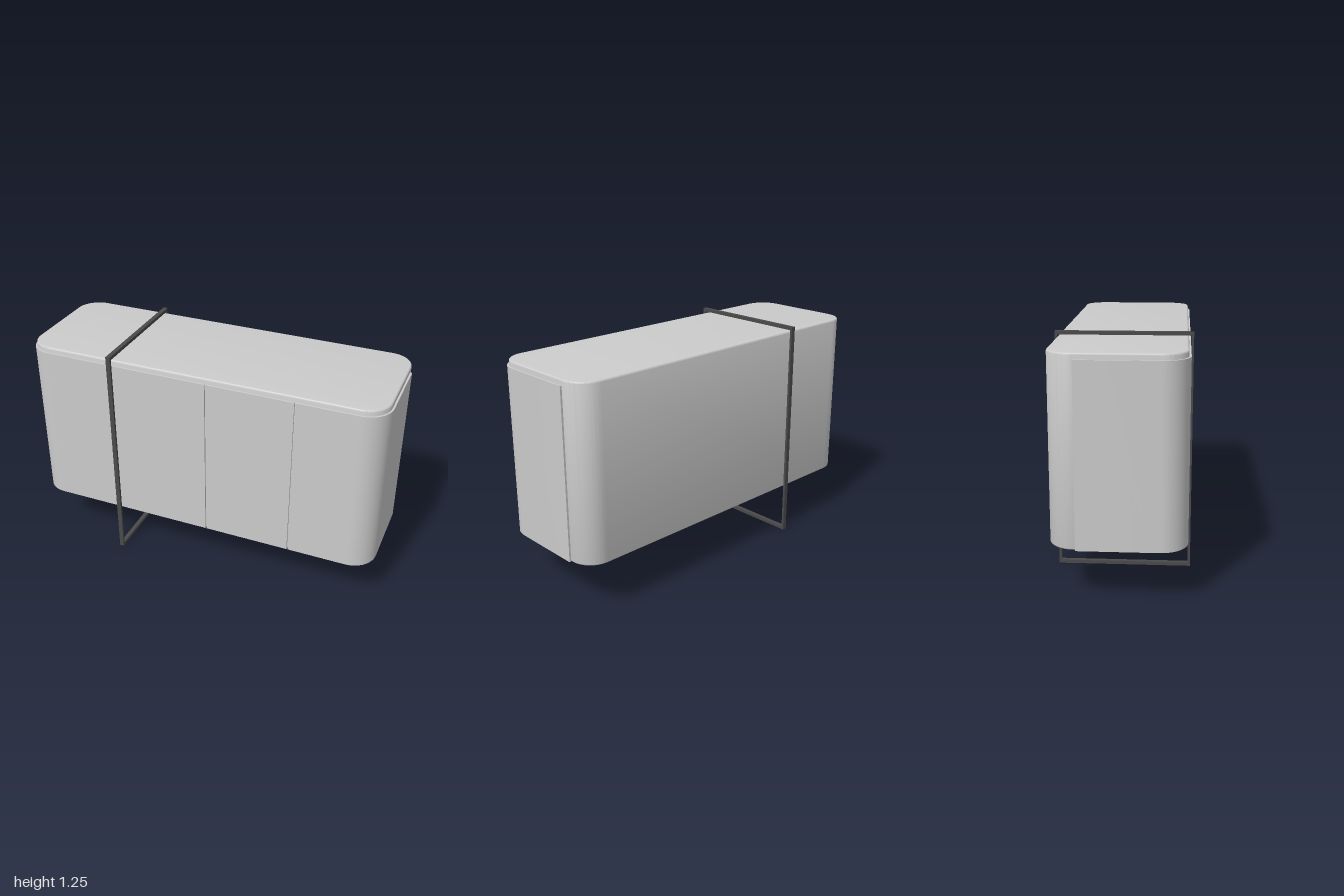
import * as THREE from 'three';
import { toCreasedNormals } from 'three/addons/utils/BufferGeometryUtils.js';

const BOTTOM = 0.285, TOP = 1.23, LIP = 0.03;
const HALF_W = 1, HALF_D = 0.335, RADIUS = 0.135, SKIN = 0.01;
const FRAME_X = -0.485, SIDE_SEAM_Z = -0.2, GAP = 0.006;

const grey = new THREE.MeshStandardMaterial({ color: 0xcccccc });
const dark = new THREE.MeshStandardMaterial({ color: 0x4a4a4a });

function add(group, name, geometry, material = grey) {
  const mesh = new THREE.Mesh(geometry, material);
  mesh.name = name;
  group.add(mesh);
  return mesh;
}

// Extrudes a plan shape (x, z) vertically between two heights.
function extrudePlan(shape, y0, y1, bevel) {
  const geo = new THREE.ExtrudeGeometry(shape, {
    depth: y1 - y0 - 2 * bevel, curveSegments: 14, bevelEnabled: bevel > 0,
    bevelSize: bevel, bevelThickness: bevel, bevelOffset: -bevel, bevelSegments: 3,
  });
  geo.rotateX(Math.PI / 2);
  geo.translate(0, y1 - bevel, 0);
  return toCreasedNormals(geo, 0.6);
}

// Plan of the rounded cabinet body.
function roundedPlan(w, d, r) {
  const s = new THREE.Shape();
  s.absarc(w - r, d - r, r, 0, Math.PI / 2);
  s.absarc(-w + r, d - r, r, Math.PI / 2, Math.PI);
  s.absarc(-w + r, -d + r, r, Math.PI, Math.PI * 1.5);
  s.absarc(w - r, -d + r, r, Math.PI * 1.5, Math.PI * 2);
  s.closePath();
  return s;
}

// Plan of a door that wraps round a front corner; side is +1 or -1.
function cornerDoorPlan(side, seamX) {
  const cx = HALF_W - RADIUS, cz = HALF_D - RADIUS;
  const inner = RADIUS - SKIN, steps = 14, pts = [];
  pts.push([HALF_W, SIDE_SEAM_Z]);
  for (let i = 0; i <= steps; i++) {
    const a = (i / steps) * Math.PI / 2;
    pts.push([cx + RADIUS * Math.cos(a), cz + RADIUS * Math.sin(a)]);
  }
  pts.push([seamX, HALF_D], [seamX, HALF_D - SKIN]);
  for (let i = steps; i >= 0; i--) {
    const a = (i / steps) * Math.PI / 2;
    pts.push([cx + inner * Math.cos(a), cz + inner * Math.sin(a)]);
  }
  pts.push([HALF_W - SKIN, SIDE_SEAM_Z]);
  return new THREE.Shape(pts.map(([x, z]) => new THREE.Vector2(side * x, z)));
}

export function createModel() {
  const model = new THREE.Group();
  model.name = 'sideboard';

  // Cabinet body with softened upper and lower edges
  const body = roundedPlan(HALF_W - SKIN, HALF_D - SKIN, RADIUS - SKIN);
  const cabinet = add(model, 'cabinetBody', extrudePlan(body, BOTTOM, TOP, 0.008));
  // The plain back stands level with the doors
  cabinet.scale.z = (2 * HALF_D - SKIN) / (2 * (HALF_D - SKIN));
  cabinet.position.z = -SKIN / 2;

  // Doors: two wrap the corners, two are flat
  const doors = new THREE.Group();
  doors.name = 'doors';
  model.add(doors);
  const y0 = BOTTOM, y1 = TOP - LIP;
  const seams = [FRAME_X, 0.06, 0.54];
  add(doors, 'rightCornerDoor', extrudePlan(cornerDoorPlan(-1, -seams[0] + GAP / 2), y0, y1, 0));
  add(doors, 'leftCornerDoor', extrudePlan(cornerDoorPlan(1, seams[2] + GAP / 2), y0, y1, 0));
  for (let i = 0; i < 2; i++) {
    const width = seams[i + 1] - seams[i] - GAP;
    const door = add(doors, 'flatDoor' + (i + 1), new THREE.BoxGeometry(width, y1 - y0, SKIN));
    door.position.set((seams[i] + seams[i + 1]) / 2, (y0 + y1) / 2, HALF_D - SKIN / 2);
  }

  // Metal loop that carries the cabinet
  const frame = new THREE.Group();
  frame.name = 'supportFrame';
  frame.position.x = FRAME_X;
  model.add(frame);
  const height = 1.255, halfZ = 0.35, bar = 0.018, post = 0.013, width = 0.025;
  for (const side of [1, -1]) {
    const leg = add(frame, side > 0 ? 'frontPost' : 'backPost',
      new THREE.BoxGeometry(width, height - 2 * bar, post), dark);
    leg.position.set(0, height / 2, side * (halfZ - post / 2));
  }
  for (const [name, y] of [['floorBar', bar / 2], ['topBar', height - bar / 2]]) {
    add(frame, name, new THREE.BoxGeometry(width, bar, 2 * halfZ), dark).position.y = y;
  }
  return model;
}
